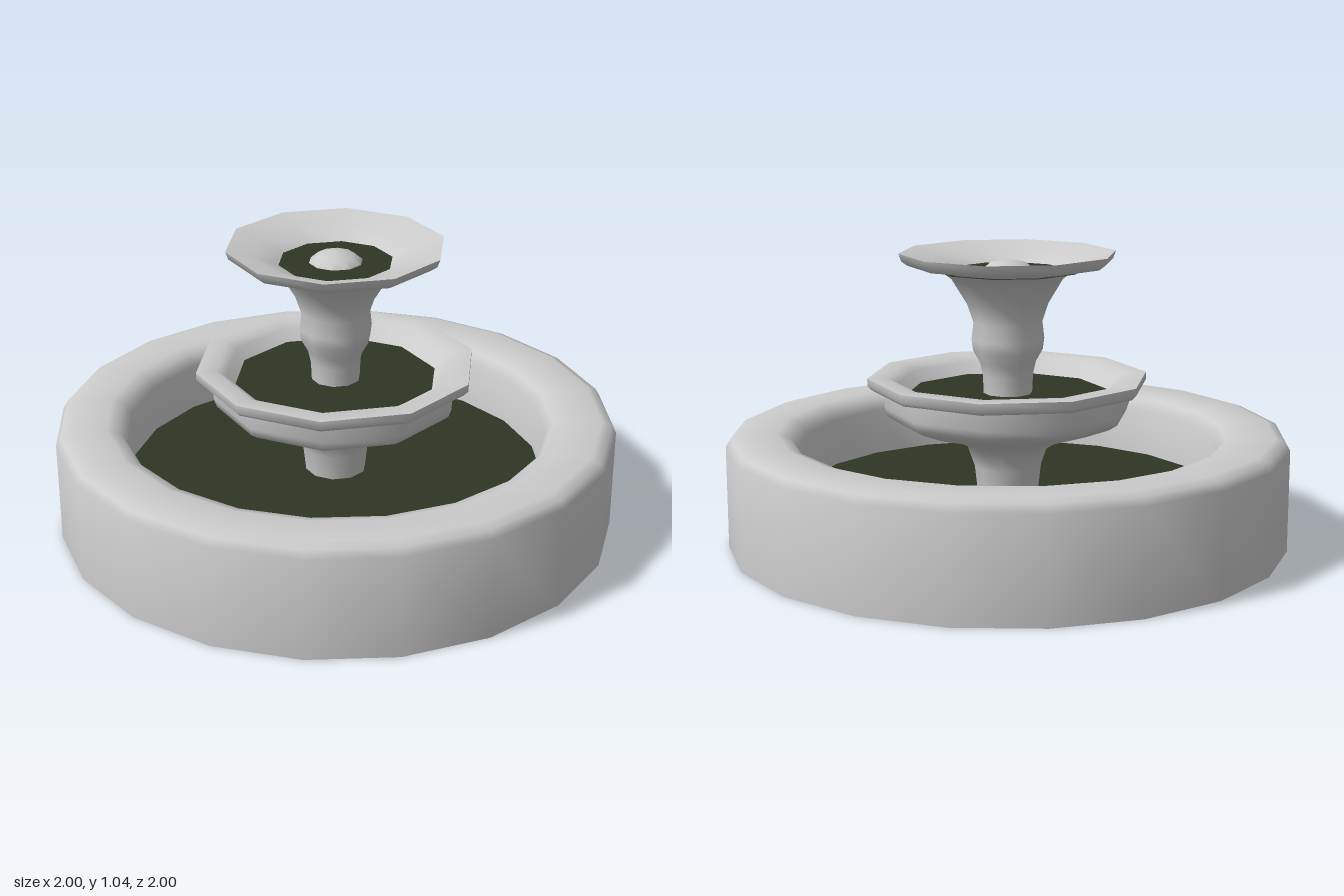
import * as THREE from 'three';
import { toCreasedNormals } from 'three/addons/utils/BufferGeometryUtils.js';

const stone = new THREE.MeshStandardMaterial({ color: 0xcccccc, side: THREE.DoubleSide });
const green = new THREE.MeshStandardMaterial({ color: 0x2f3624, side: THREE.DoubleSide });

export function createModel() {
  const group = new THREE.Group();

  const add = (name, geometry, material) => {
    const mesh = new THREE.Mesh(geometry, material);
    mesh.name = name;
    group.add(mesh);
  };

  // Turned stone part: profile of [radius, height], with a corner on the x axis
  const turned = (name, profile, sides) => {
    const points = profile.map(([r, y]) => new THREE.Vector2(r, y));
    const geometry = new THREE.LatheGeometry(points, sides).rotateY(Math.PI / 2);
    add(name, toCreasedNormals(geometry, 1), stone);
  };

  // Flat sheet of water
  const water = (name, radius, y, sides) => {
    add(name, new THREE.CircleGeometry(radius, sides).rotateX(-Math.PI / 2).translate(0, y, 0), green);
  };

  // Wide basin, hollow below, with a floor that has a hole under the column
  turned('basin', [
    [1, 0], [1, 0.365], [0.985, 0.392], [0.95, 0.405], [0.82, 0.405],
    [0.775, 0.39], [0.75, 0.35], [0.745, 0.06],
  ], 20);
  const floor = new THREE.Shape();
  const hole = new THREE.Path();
  for (const [path, radius, sides] of [[floor, 0.745, 20], [hole, 0.09, 10]]) {
    const corners = [];
    for (let i = 0; i < sides; i++) {
      const a = (i / sides) * Math.PI * 2;
      corners.push(new THREE.Vector2(radius * Math.cos(a), radius * Math.sin(a)));
    }
    path.setFromPoints(corners);
  }
  floor.holes.push(hole);
  add('basinFloor', new THREE.ShapeGeometry(floor).rotateX(Math.PI / 2).translate(0, 0.06, 0), stone);
  water('basinWater', 0.757, 0.18, 20);

  // Lower column flaring into the middle bowl
  turned('middleBowl', [
    [0.09, 0.06], [0.11, 0.18], [0.12, 0.27], [0.145, 0.34], [0.2, 0.375],
    [0.31, 0.405], [0.4, 0.44], [0.43, 0.46], [0.44, 0.49], [0.44, 0.555],
    [0.485, 0.555], [0.5, 0.57], [0.5, 0.597], [0.43, 0.597],
    [0.395, 0.575], [0.36, 0.53], [0.32, 0.5], [0.08, 0.49],
  ], 10);
  water('middleWater', 0.365, 0.535, 10);

  // Upper column with a swelling, flaring into the top bowl
  turned('topBowl', [
    [0.085, 0.49], [0.09, 0.6], [0.1, 0.645], [0.125, 0.69], [0.13, 0.73],
    [0.123, 0.79], [0.145, 0.855], [0.2, 0.945], [0.27, 0.995],
    [0.355, 0.995], [0.375, 1.01], [0.385, 1.037],
    [0.29, 1.012], [0.205, 0.978], [0.18, 0.955], [0.09, 0.945],
  ], 10);
  water('topWater', 0.265, 0.975, 10);

  // Low domed spout
  turned('spout', [[0.095, 0.945], [0.095, 0.975], [0.065, 1], [0, 1.012]], 10);

  return group;
}
